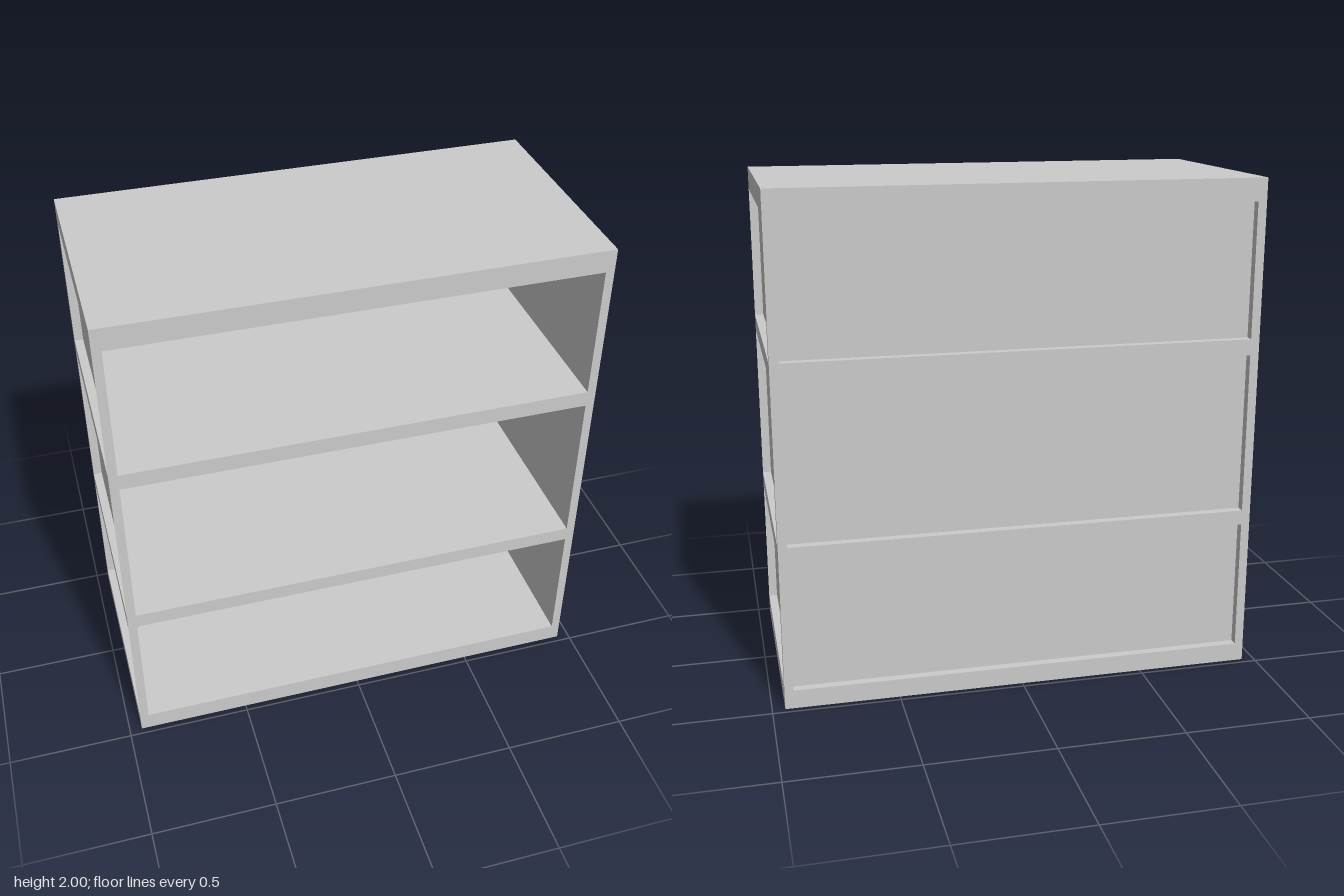
import * as THREE from 'three';

const W = 0.95, D = 0.475;      // half width and half depth
const T = 0.035;                // frame thickness
const IX = W - T, BZ = -D + T;  // planes of the side and back panels
const BASE = 0.075;
const bays = [[BASE, 0.605], [0.665, 1.31], [1.375, 1.91]];

export function createModel() {
  const group = new THREE.Group();
  const solid = new THREE.MeshStandardMaterial({ color: 0xcccccc });
  const thin = new THREE.MeshStandardMaterial({ color: 0xcccccc, side: THREE.DoubleSide });

  const add = (name, geometry, material) => {
    const mesh = new THREE.Mesh(geometry, material);
    mesh.name = name;
    group.add(mesh);
    return mesh;
  };
  const box = (name, x0, x1, y0, y1, z0, z1) =>
    add(name, new THREE.BoxGeometry(x1 - x0, y1 - y0, z1 - z0), solid)
      .position.set((x0 + x1) / 2, (y0 + y1) / 2, (z0 + z1) / 2);
  // thin sheet facing the front
  const sheet = (name, x0, x1, y0, y1, z) =>
    add(name, new THREE.PlaneGeometry(x1 - x0, y1 - y0), thin)
      .position.set((x0 + x1) / 2, (y0 + y1) / 2, z);

  // shelves and top slab span the whole footprint
  box('lowerShelf', -W, W, bays[0][1], bays[1][0], -D, D);
  box('upperShelf', -W, W, bays[1][1], bays[2][0], -D, D);
  box('top', -W, W, bays[2][1], 2, -D, D);

  // base: rim on the back and sides, thin skirt in front, floor sheet
  box('baseBackRail', -W, W, 0, BASE, -D, BZ);
  for (const s of [-1, 1]) {
    const [a, b] = [s * IX, s * W].sort((p, q) => p - q);
    box('baseSideRail', a, b, 0, BASE, BZ, D);
  }
  sheet('baseSkirt', -IX, IX, 0, BASE, D);
  const floor = add('floor', new THREE.PlaneGeometry(2 * IX, D - BZ), thin);
  floor.rotation.x = -Math.PI / 2;
  floor.position.set(0, BASE, (D + BZ) / 2);

  // each bay: recessed back and side panels, rear posts, thin front stiles
  for (const [y0, y1] of bays) {
    sheet('backPanel', -IX, IX, y0, y1, BZ);
    for (const s of [-1, 1]) {
      const [a, b] = [s * IX, s * W].sort((p, q) => p - q);
      box('rearPost', a, b, y0, y1, -D, BZ);
      sheet('frontStile', a, b, y0, y1, D);
      const side = add('sidePanel', new THREE.PlaneGeometry(D - BZ, y1 - y0), thin);
      side.rotation.y = s * Math.PI / 2;
      side.position.set(s * IX, (y0 + y1) / 2, (D + BZ) / 2);
    }
  }
  return group;
}
